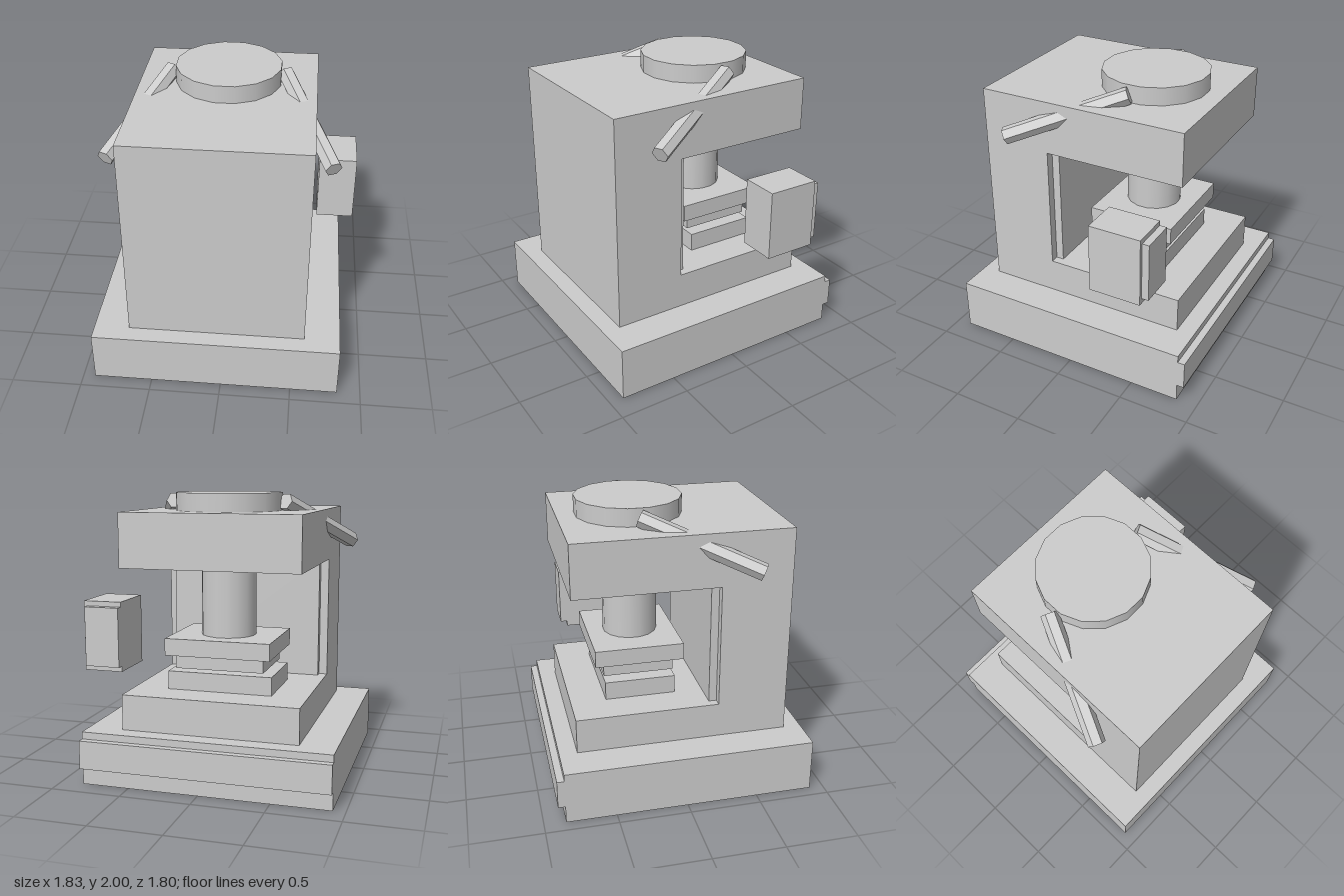
import * as THREE from 'three';

const CX = -0.04;   // centre line of the press
const CZ = -0.225;  // axis of the ram

export function createModel() {
  const model = new THREE.Group();
  model.name = 'press';
  const grey = new THREE.MeshStandardMaterial({ color: 0xcccccc });
  grey.name = 'grey';

  const add = (name, geometry) => {
    const mesh = new THREE.Mesh(geometry, grey);
    mesh.name = name;
    model.add(mesh);
    return mesh;
  };

  // Box given by its limits on each axis
  const box = (name, [x0, x1], [y0, y1], [z0, z1]) =>
    add(name, new THREE.BoxGeometry(x1 - x0, y1 - y0, z1 - z0))
      .position.set((x0 + x1) / 2, (y0 + y1) / 2, (z0 + z1) / 2);

  // Upright 16-sided cylinder on the ram axis
  const drum = (name, radius, y0, y1) => {
    const mesh = add(name, new THREE.CylinderGeometry(radius, radius, y1 - y0, 16));
    mesh.rotation.y = Math.PI / 16;
    mesh.position.set(CX, (y0 + y1) / 2, CZ);
  };

  // Base with a rail along its back
  box('base', [-0.915, 0.835], [0, 0.375], [-0.85, 0.9]);
  box('baseRail', [-0.915, 0.835], [0.125, 0.325], [-0.9, -0.85]);

  // C-shaped frame, profile in z and y, extruded across x
  const profile = new THREE.Shape([
    [0.775, 0.375], [0.775, 1.875], [-0.725, 1.875], [-0.725, 1.5],
    [0.28, 1.5], [0.28, 0.625], [-0.725, 0.625], [-0.725, 0.375],
  ].map(([z, y]) => new THREE.Vector2(z, y)));
  const frame = new THREE.ExtrudeGeometry(profile, { depth: 1.25, bevelEnabled: false });
  frame.rotateY(-Math.PI / 2);
  add('frame', frame).position.x = 0.585;
  box('guidePlate', [CX - 0.565, CX + 0.565], [0.625, 1.5], [0.225, 0.28]);

  // Cap, ram and tooling
  drum('topCap', 0.375, 1.875, 2);
  drum('ram', 0.195, 1, 1.5);
  const slab = (name, w, d, y0, y1) =>
    box(name, [CX - w / 2, CX + w / 2], [y0, y1], [CZ - d / 2, CZ + d / 2]);
  slab('ramPlate', 0.75, 0.63, 0.88, 1);
  slab('upperDie', 0.63, 0.5, 0.78, 0.88);
  slab('lowerDie', 0.75, 0.5, 0.625, 0.755);

  // Control box standing free beside the frame
  box('controlBox', [0.635, 0.91], [0.755, 1.25], [-0.6, -0.225]);
  box('controlPanel', [0.635, 0.885], [0.795, 1.215], [-0.65, -0.6]);

  // Hexagonal rods running through the frame, mirrored on the centre line
  for (const side of [-1, 1]) {
    const low = new THREE.Vector3(CX + side * 0.75, 1.63, 0.525);
    const high = new THREE.Vector3(CX + side * 0.4, 1.94, -0.225);
    const along = low.clone().sub(high);
    const length = along.length();
    along.normalize();
    const level = new THREE.Vector3(along.z, 0, -along.x).normalize();
    const across = along.clone().cross(level);
    const rod = new THREE.CylinderGeometry(0.06, 0.06, length, 6).toNonIndexed();
    rod.computeVertexNormals();
    rod.applyMatrix4(new THREE.Matrix4().makeBasis(across, along, level));
    add(side > 0 ? 'leftRod' : 'rightRod', rod).position.copy(low).add(high).multiplyScalar(0.5);
  }
  return model;
}
